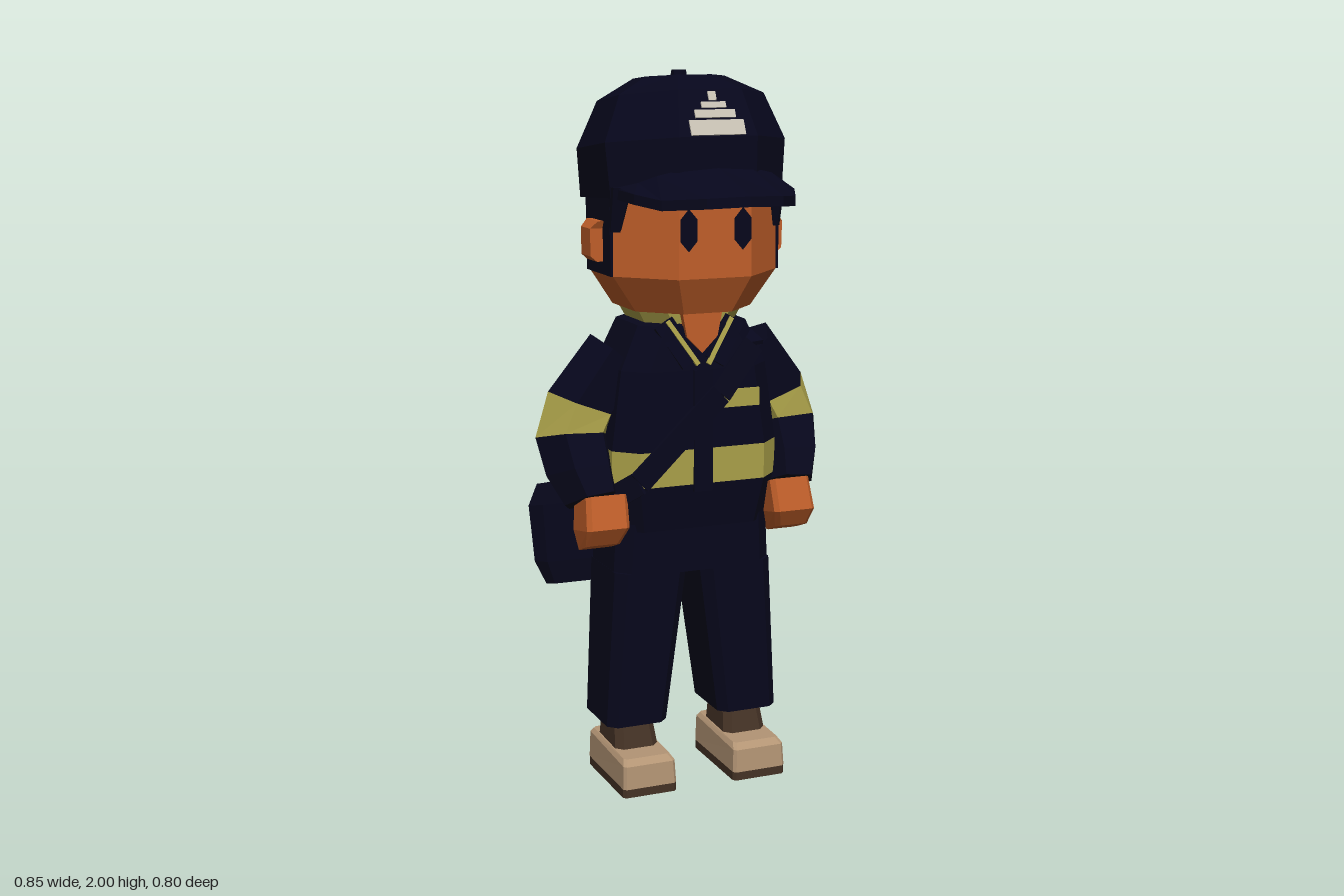
import * as THREE from 'three';

const mat = (name, color) => Object.assign(new THREE.MeshStandardMaterial({ color, flatShading: true }), { name });

export function createModel() {
  const navy = mat('navy cloth', 0x07071c), skin = mat('skin', 0xc05f2a), olive = mat('reflective olive', 0xaca24a);
  const tan = mat('tan leather', 0xb29474), brown = mat('dark brown', 0x443225), silver = mat('badge grey', 0xc8c2b4);
  const model = new THREE.Group();
  model.name = 'capped worker';

  const add = (name, geo, material) => {
    const mesh = new THREE.Mesh(geo, material);
    mesh.name = name;
    model.add(mesh);
    return mesh;
  };

  // Capped solid through rings of equal length, listed bottom to top
  const loft = (name, material, rings, mirror = false) => {
    if (mirror) rings = rings.map(r => r.map(([x, y, z]) => [-x, y, z]).reverse());
    const out = [], n = rings[0].length, top = rings[rings.length - 1];
    for (let k = 0; k < rings.length - 1; k++) {
      for (let i = 0; i < n; i++) {
        const j = (i + 1) % n, a = rings[k], b = rings[k + 1];
        out.push(a[i], b[i], a[j], a[j], b[i], b[j]);
      }
    }
    for (let i = 1; i < n - 1; i++) {
      out.push(rings[0][0], rings[0][i], rings[0][i + 1]);
      out.push(top[0], top[i + 1], top[i]);
    }
    const geo = new THREE.BufferGeometry();
    geo.setAttribute('position', new THREE.Float32BufferAttribute(out.flat(), 3));
    geo.computeVertexNormals();
    return add(name, geo, material);
  };

  // Chamfered rectangle ring; y may differ between back and front
  const oct = (y, cx, cz, w, d, c, yFront = y) =>
    [[w, d - c], [w - c, d], [c - w, d], [-w, d - c], [-w, c - d], [c - w, -d], [w - c, -d], [w, c - d]]
      .map(([x, z]) => [cx + x, y + (yFront - y) * (z / d + 1) / 2, cz + z]);

  // Hexagonal limb ring between an inner and an outer (x, y) point; tilt lifts the front
  const limb = (xi, yi, xo, yo, cz, rz, tilt = 0) => [0, 1, 2, 3, 4, 5].map(i => {
    const a = i * Math.PI / 3, t = (Math.cos(a) + 1) / 2, s = Math.sin(a) / 0.866;
    return [xi + (xo - xi) * t, yi + (yo - yi) * t + tilt * s, cz + s * rz];
  });

  // Flat bar from a to b, facing along n
  const bar = (name, material, a, b, width, thick, n) => {
    const p = new THREE.Vector3(...a), q = new THREE.Vector3(...b);
    const y = q.clone().sub(p), len = y.length();
    y.normalize();
    const x = y.clone().cross(new THREE.Vector3(...n)).normalize();
    const z = x.clone().cross(y);
    const m = new THREE.Matrix4().makeBasis(x, y, z).setPosition(p.add(q).multiplyScalar(0.5));
    return add(name, new THREE.BoxGeometry(width, len, thick).applyMatrix4(m), material);
  };

  // Head, neck and hair
  loft('head', skin, [oct(1.36, 0, -0.06, 0.17, 0.19, 0.1), oct(1.46, 0, -0.045, 0.24, 0.225, 0.135),
    oct(1.69, 0, -0.045, 0.243, 0.225, 0.14)]);
  loft('neck', skin, [oct(1.26, 0, -0.06, 0.08, 0.1, 0.04), oct(1.38, 0, -0.06, 0.08, 0.1, 0.04)]);
  const hairRing = (y, w) => [[w, 0.045], [-w, 0.045], [-w, -0.14], [-0.11, -0.276], [0.11, -0.276], [w, -0.14]]
    .map(([x, z]) => [x, y, z]);
  loft('hair', navy, [hairRing(1.46, 0.247), hairRing(1.7, 0.25)]);

  // Cap crown, button and brim
  loft('capCrown', navy, [oct(1.645, 0, -0.062, 0.25, 0.26, 0.14, 1.68), oct(1.77, 0, -0.062, 0.262, 0.262, 0.15, 1.835),
    oct(1.90, 0, -0.065, 0.21, 0.207, 0.12, 1.955), oct(1.97, 0, -0.075, 0.115, 0.115, 0.067, 1.99)]);
  add('capButton', new THREE.CylinderGeometry(0.02, 0.025, 0.03, 6), navy).position.set(0, 1.985, -0.075);
  const outer = [[0.24, 1.695, 0.08], [0.23, 1.69, 0.18], [0.19, 1.68, 0.27], [0.107, 1.69, 0.37], [0, 1.695, 0.4]];
  const inner = [[0.238, 1.7, 0.075], [0.2, 1.715, 0.13], [0.165, 1.735, 0.175], [0.1, 1.75, 0.185], [0, 1.755, 0.19]];
  // each cross-section runs inner top, outer top, outer bottom, inner bottom
  const brim = outer.map((o, i) => [inner[i], o, [o[0], o[1] - 0.027, o[2]],
    [inner[i][0], inner[i][1] - 0.03 - i * 0.012, inner[i][2]]]);
  for (const mirror of [false, true]) loft('capBrim', navy, brim, mirror);

  // Plain stepped badge plates on the cap front
  const slope = y => 0.201 - (y - 1.835) * 0.483;
  for (const [y0, y1, w] of [[1.838, 1.876, 0.155], [1.882, 1.902, 0.115], [1.907, 1.922, 0.07], [1.926, 1.948, 0.022]])
    bar('badge', silver, [0, y0, slope(y0)], [0, y1, slope(y1)], w, 0.007, [0, 0.5, 1]);

  // Jacket body in stacked bands
  const body = [[0.75, 0.225, 0.14], [0.88, 0.245, 0.162], [0.98, 0.245, 0.165], [1.2, 0.215, 0.16], [1.32, 0.16, 0.145]]
    .map(([y, w, d]) => oct(y, 0, -0.066, w, d, 0.06));
  loft('jacketHem', navy, body.slice(0, 2));
  loft('jacketStripe', olive, body.slice(1, 3));
  loft('jacketChest', navy, body.slice(2));
  bar('placket', navy, [0, 0.86, 0.098], [0, 1.2, 0.097], 0.055, 0.009, [0, 0, 1]);
  bar('chestStripe', olive, [0.045, 1.115, 0.097], [0.168, 1.115, 0.097], 0.05, 0.009, [0, 0, 1]);

  // Collar and open throat
  loft('collar', olive, [oct(1.325, 0, -0.07, 0.135, 0.135, 0.06), oct(1.362, 0, -0.07, 0.155, 0.14, 0.06)]);
  const vee = new THREE.Shape([[-0.06, 1.365], [-0.045, 1.29], [0, 1.245], [0.045, 1.29], [0.06, 1.365]]
    .map(p => new THREE.Vector2(...p)));
  add('throat', new THREE.ExtrudeGeometry(vee, { depth: 0.02, bevelEnabled: false }), skin).position.z = 0.073;

  // Trousers seat
  loft('trouserSeat', navy, [oct(0.62, 0, -0.07, 0.235, 0.125, 0.04), oct(0.8, 0, -0.07, 0.225, 0.13, 0.04)]);

  for (const mirror of [false, true]) {
    const s = mirror ? -1 : 1;
    // Face details
    const eye = new THREE.CircleGeometry(0.03, 6).rotateZ(Math.PI / 6).scale(0.95, 1.9, 1);
    add('eye', eye, navy).position.set(s * 0.078, 1.59, 0.184);
    const earRing = (y, x, z0, z1) => [[x, y, z1], [0.235, y, z1], [0.235, y, z0], [x, y, z0]];
    loft('ear', skin, [earRing(1.495, 0.265, -0.09, -0.01), earRing(1.51, 0.283, -0.085, -0.01),
      earRing(1.585, 0.285, -0.08, -0.01), earRing(1.605, 0.265, -0.09, 0)], mirror);
    loft('sideburn', navy, [oct(1.58, 0.23, 0.04, 0.018, 0.02, 0.01), oct(1.7, 0.222, 0.045, 0.028, 0.05, 0.015)], mirror);

    // Lapels and their trim
    bar('lapel', navy, [s * 0.105, 1.33, 0.066], [s * 0.035, 1.22, 0.093], 0.06, 0.012, [0, 0.2, 1]);
    bar('lapelTrim', olive, [s * 0.095, 1.335, 0.073], [s * 0.015, 1.215, 0.099], 0.013, 0.009, [0, 0.2, 1]);

    // Sleeve in three pieces, then the hand
    const shoulder = limb(0.13, 1.17, 0.265, 1.29, -0.07, 0.085), stripeTop = limb(0.19, 1.06, 0.385, 1.135, -0.085, 0.1);
    const elbow = limb(0.21, 1, 0.425, 1.01, -0.08, 0.1, 0.028), forearm = limb(0.215, 0.92, 0.41, 0.91, -0.035, 0.1, 0.035);
    const cuff = limb(0.22, 0.85, 0.375, 0.835, 0.015, 0.075, 0.035);
    loft('upperSleeve', navy, [stripeTop, shoulder], mirror);
    loft('sleeveStripe', olive, [elbow, stripeTop], mirror);
    loft('lowerSleeve', navy, [cuff, forearm, elbow], mirror);
    loft('hand', skin, [oct(0.7, 0.285, 0.04, 0.05, 0.04, 0.012, 0.73), oct(0.755, 0.28, 0.045, 0.062, 0.067, 0.012, 0.78),
      oct(0.82, 0.275, 0.025, 0.06, 0.06, 0.012, 0.87)], mirror);

    // Leg, ankle and shoe
    loft('trouserLeg', navy, [oct(0.18, 0.17, -0.065, 0.09, 0.108, 0.025), oct(0.63, 0.1275, -0.07, 0.1075, 0.125, 0.03)], mirror);
    loft('ankle', brown, [oct(0.1, 0.168, -0.055, 0.065, 0.085, 0.02), oct(0.2, 0.168, -0.07, 0.055, 0.07, 0.02)], mirror);
    loft('sole', brown, [oct(0, 0.168, -0.025, 0.08, 0.145, 0.008), oct(0.025, 0.168, -0.025, 0.08, 0.145, 0.008)], mirror);
    loft('shoe', tan, [oct(0.025, 0.168, -0.025, 0.08, 0.147, 0.008), oct(0.102, 0.168, -0.027, 0.077, 0.144, 0.008, 0.09),
      oct(0.113, 0.168, -0.035, 0.068, 0.13, 0.008, 0.105)], mirror);
  }

  // Shoulder strap looping round the body
  const strap = [[0.135, 1.315, -0.07], [0.155, 1.26, 0.085], [0.05, 1.13, 0.102], [-0.19, 0.9, 0.104], [-0.252, 0.84, 0.03],
    [-0.252, 0.8, -0.15], [-0.19, 0.85, -0.234], [0.03, 1.12, -0.232], [0.13, 1.27, -0.217]];
  strap.forEach((p, i) => {
    const q = strap[(i + 1) % strap.length];
    const nx = i > 2 && i < 6 ? -1 : 0;
    bar('strap', navy, p, q, 0.065, 0.012, [nx, i === 0 || i === 8 ? 0.8 : 0, ((p[2] + q[2]) / 2 + 0.07) * 6]);
  });

  // Shoulder bag, narrower at the back, with its lid sloping down behind
  const bagRing = (y, k, cz, tilt) =>
    [[0.115, 0.01], [0.09, 0.1], [-0.09, 0.09], [-0.12, 0.05], [-0.04, -0.12], [0.065, -0.115]]
      .map(([x, z]) => [-0.28 + x * k, y + tilt * z, cz + z * k]);
  loft('bag', navy, [bagRing(0.54, 0.6, -0.255, 0.1), bagRing(0.61, 0.88, -0.27, 0.1),
    bagRing(0.77, 1, -0.28, 0.2), bagRing(0.83, 0.8, -0.265, 0.25)]);

  return model;
}
